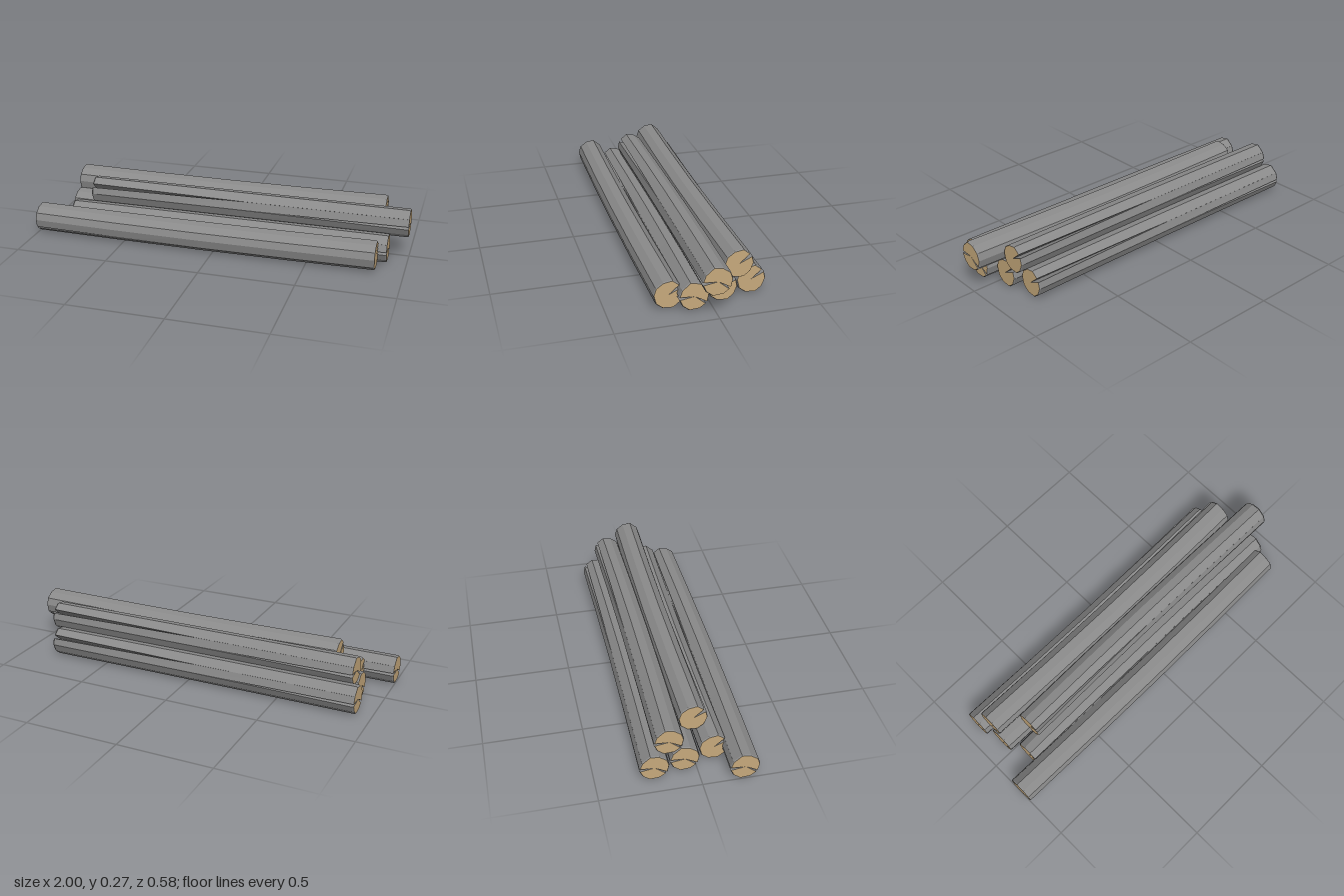
import * as THREE from 'three';

const bark = new THREE.MeshStandardMaterial({ color: 0x8a8a8a, flatShading: true });
bark.name = 'greyBark';
const wood = new THREE.MeshStandardMaterial({ color: 0xc6a97c, flatShading: true });
wood.name = 'cutWood';

// Log outline: angle in degrees, radius, and for split corners the end that cracks open
const OUTLINE = [
  [-145, 0.073, -1, 5], [-111, 0.073], [-71, 0.0765], [-38, 0.0745], [-3, 0.075, -1, 6],
  [33, 0.074, 1, 8], [74, 0.0785], [109, 0.072], [145, 0.073], [176, 0.072],
];

// Cross-section at t (0 = -x end, 1 = +x end); cracks close towards the middle
function section(x, t, scale) {
  const bend = Math.sin(Math.PI * t);
  const points = [];
  const add = (deg, r) => {
    const a = THREE.MathUtils.degToRad(deg);
    points.push(new THREE.Vector3(x, r * scale * Math.sin(a) - 0.003 * bend, -r * scale * Math.cos(a) + 0.008 * bend));
  };
  for (const [deg, r, end, half] of OUTLINE) {
    if (!end) {
      add(deg, r);
      continue;
    }
    const open = Math.max(0.02, end * (2 * t - 1));
    add(deg - half * open, r);
    add(deg, r * (1 - 0.97 * open));
    add(deg + half * open, r);
  }
  return points;
}

function toGeometry(triangles) {
  const g = new THREE.BufferGeometry().setFromPoints(triangles);
  g.computeVertexNormals();
  return g;
}

function barkGeometry(length) {
  const h = length / 2, rim = 0.006;
  const rings = [section(-h, 0, 0.95)];
  for (let i = 0; i <= 4; i++) {
    rings.push(section(THREE.MathUtils.lerp(-h + rim, h - rim, i / 4), i / 4, 1));
  }
  rings.push(section(h, 1, 0.95));
  const tris = [];
  for (let k = 0; k < rings.length - 1; k++) {
    const p = rings[k], q = rings[k + 1];
    for (let i = 0; i < p.length; i++) {
      const j = (i + 1) % p.length;
      tris.push(p[i], p[j], q[i], p[j], q[j], q[i]);
    }
  }
  return toGeometry(tris);
}

// Sawn face, fanned from the centre
function faceGeometry(length, end) {
  const x = end * length / 2;
  const ring = section(x, end > 0 ? 1 : 0, 0.95);
  const centre = new THREE.Vector3(x, 0, 0);
  const tris = [];
  ring.forEach((p, i) => {
    const next = ring[(i + 1) % ring.length];
    tris.push(centre, ...(end > 0 ? [p, next] : [next, p]));
  });
  return toGeometry(tris);
}

function makeLog(name, x0, x1, y, z, turned) {
  const log = new THREE.Group();
  log.name = name;
  const length = x1 - x0;
  const part = (partName, geometry, material) => {
    const mesh = new THREE.Mesh(geometry, material);
    mesh.name = partName;
    log.add(mesh);
  };
  part('barkBody', barkGeometry(length), bark);
  part('leftSawnFace', faceGeometry(length, 1), wood);
  part('rightSawnFace', faceGeometry(length, -1), wood);
  log.position.set((x0 + x1) / 2, y, z);
  if (turned) log.rotation.y = Math.PI;
  return log;
}

export function createModel() {
  const pile = new THREE.Group();
  pile.name = 'logPile';
  // Bottom row, front to back, then the two logs on top
  pile.add(
    makeLog('bottomLogFront', -1, 0.855, 0.076, 0.208, false),
    makeLog('bottomLogSecond', -0.84, 0.9, 0.076, 0.092, true),
    makeLog('bottomLogThird', -0.89, 0.85, 0.076, -0.06, false),
    makeLog('bottomLogBack', -0.92, 0.812, 0.076, -0.215, false),
    makeLog('topLogFront', -0.745, 0.995, 0.194, 0.01, true),
    makeLog('topLogBack', -0.882, 0.855, 0.192, -0.137, false),
  );
  return pile;
}
